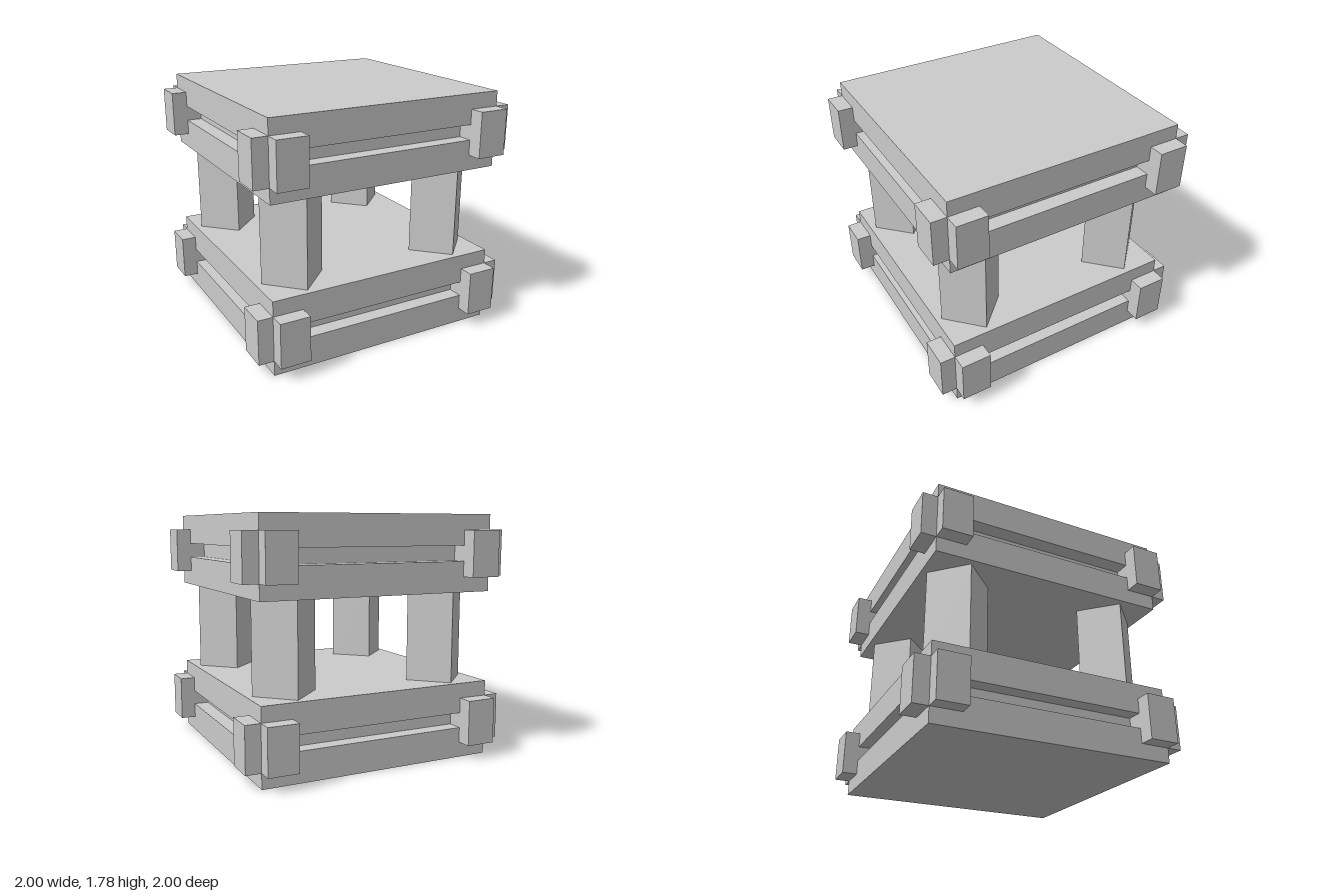
import * as THREE from 'three';

const U = 1 / 9; // the whole design sits on a grid of ninths
const material = new THREE.MeshStandardMaterial({ color: 0xcccccc, flatShading: true });

// Box given by its size and centre in grid units
function box(name, [w, h, d], [x, y, z]) {
  const mesh = new THREE.Mesh(new THREE.BoxGeometry(w * U, h * U, d * U), material);
  mesh.position.set(x * U, y * U, z * U);
  mesh.name = name;
  return mesh;
}

// Square slab with a groove around its sides and raised blocks at the corners
function createSlab(name) {
  const slab = new THREE.Group();
  slab.name = name;
  slab.add(
    box('lowerPlate', [16, 2, 16], [0, 1, 0]),
    box('grooveCore', [14, 1, 14], [0, 2.5, 0]),
    box('upperPlate', [16, 2, 16], [0, 4, 0])
  );
  for (const sx of [-1, 1]) {
    for (const sz of [-1, 1]) {
      slab.add(
        box('grooveEnd', [2, 1, 2], [sx * 7, 2.5, sz * 7]),
        box('cornerBlock', [2, 3, 1], [sx * 7, 2.5, sz * 8.5]),
        box('cornerBlock', [1, 3, 2], [sx * 8.5, 2.5, sz * 7])
      );
    }
  }
  return slab;
}

export function createModel() {
  const model = new THREE.Group();
  model.name = 'pedestal';

  const base = createSlab('baseSlab');
  const top = createSlab('topSlab');
  top.position.y = 11 * U;
  model.add(base, top);

  // Square pillars turned by 45 degrees
  for (const sx of [-1, 1]) {
    for (const sz of [-1, 1]) {
      const pillar = box('pillar', [3, 6, 3], [sx * 5.5, 8, sz * 5.5]);
      pillar.rotation.y = Math.PI / 4;
      model.add(pillar);
    }
  }
  return model;
}
